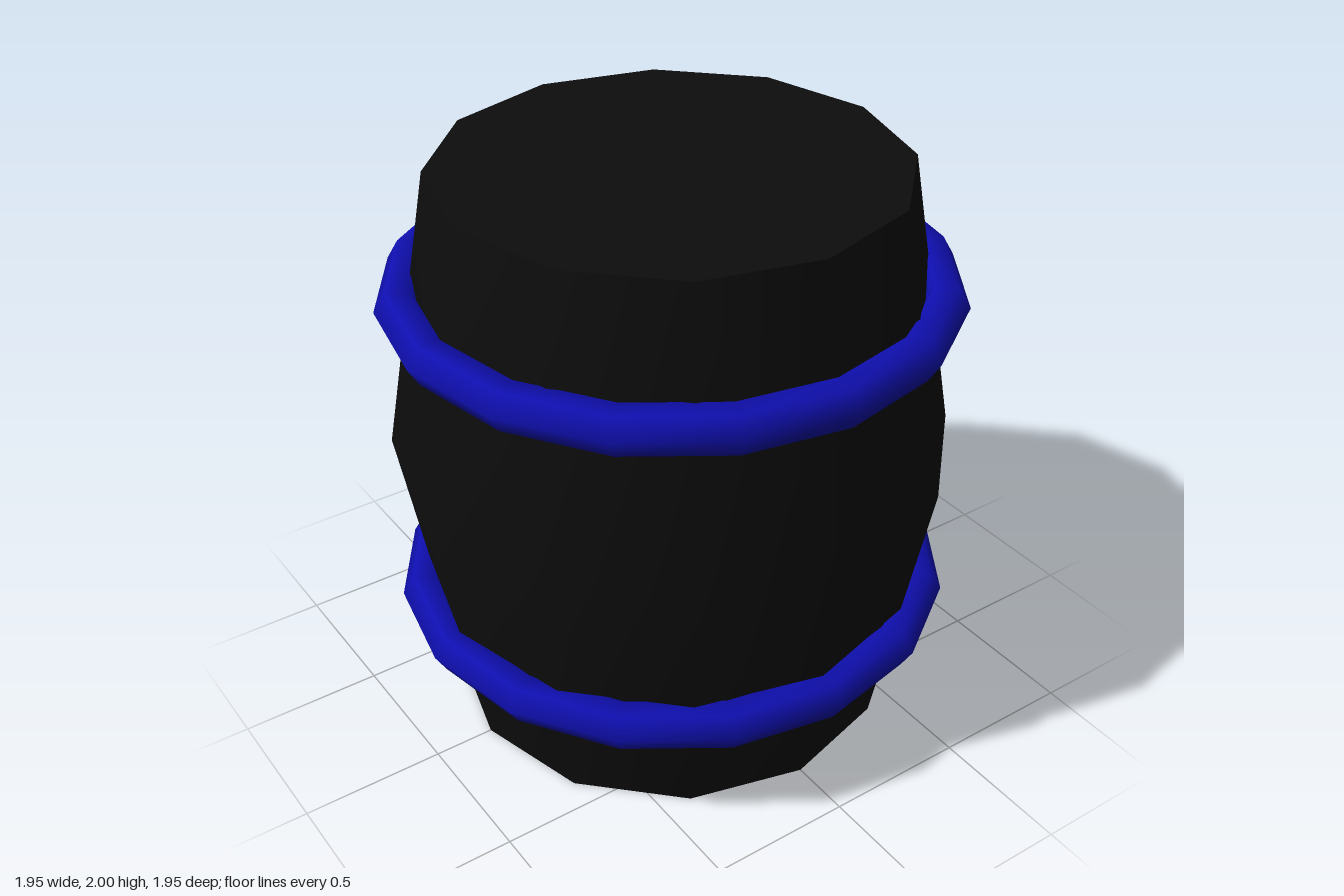
import * as THREE from 'three';
import { mergeGeometries } from 'three/addons/utils/BufferGeometryUtils.js';

const SIDES = 12, END_R = 0.787, BELLY_R = 0.965;
const HOOP_STEPS = 16, HOOP_SIDES = 6, HOOP_R = 0.897, HOOP_TUBE = 0.078;

// Twelve-sided bulging side wall with flat ends
function barrelGeometry() {
  const wall = new THREE.LatheGeometry(
    [[END_R, 0], [BELLY_R, 1], [END_R, 2]].map(([r, y]) => new THREE.Vector2(r, y)), SIDES);
  const top = new THREE.CircleGeometry(END_R, SIDES).rotateX(-Math.PI / 2).translate(0, 2, 0);
  const bottom = new THREE.CircleGeometry(END_R, SIDES).rotateX(Math.PI / 2);
  return mergeGeometries([wall, top, bottom]);
}

// Hexagonal hoop whose two ends are cut square to their segments, leaving a notch at +x
function hoopGeometry() {
  const geo = new THREE.TorusGeometry(HOOP_R, HOOP_TUBE, HOOP_SIDES, HOOP_STEPS);
  const pos = geo.attributes.position;
  const tilt = Math.PI / HOOP_STEPS;
  for (let j = 0; j <= HOOP_SIDES; j++) {
    const offset = HOOP_TUBE * Math.cos((j / HOOP_SIDES) * Math.PI * 2);
    for (const [i, sign] of [[0, 1], [HOOP_STEPS, -1]]) {
      pos.setX(j * (HOOP_STEPS + 1) + i, HOOP_R + offset * Math.cos(tilt));
      pos.setY(j * (HOOP_STEPS + 1) + i, sign * offset * Math.sin(tilt));
    }
  }
  return geo.rotateX(-Math.PI / 2);
}

export function createModel() {
  const model = new THREE.Group();
  model.name = 'barrel';

  const black = new THREE.MeshStandardMaterial({ color: 0x0d0d0d });
  black.name = 'black';
  const blue = new THREE.MeshStandardMaterial({ color: 0x0f0fb0, side: THREE.DoubleSide });
  blue.name = 'blue';

  const body = new THREE.Mesh(barrelGeometry(), black);
  body.name = 'body';
  model.add(body);

  // Lower and upper hoops
  const hoopGeo = hoopGeometry();
  for (const [name, y] of [['lowerHoop', 0.43], ['upperHoop', 1.573]]) {
    const hoop = new THREE.Mesh(hoopGeo, blue);
    hoop.name = name;
    hoop.position.y = y;
    model.add(hoop);
  }
  return model;
}
